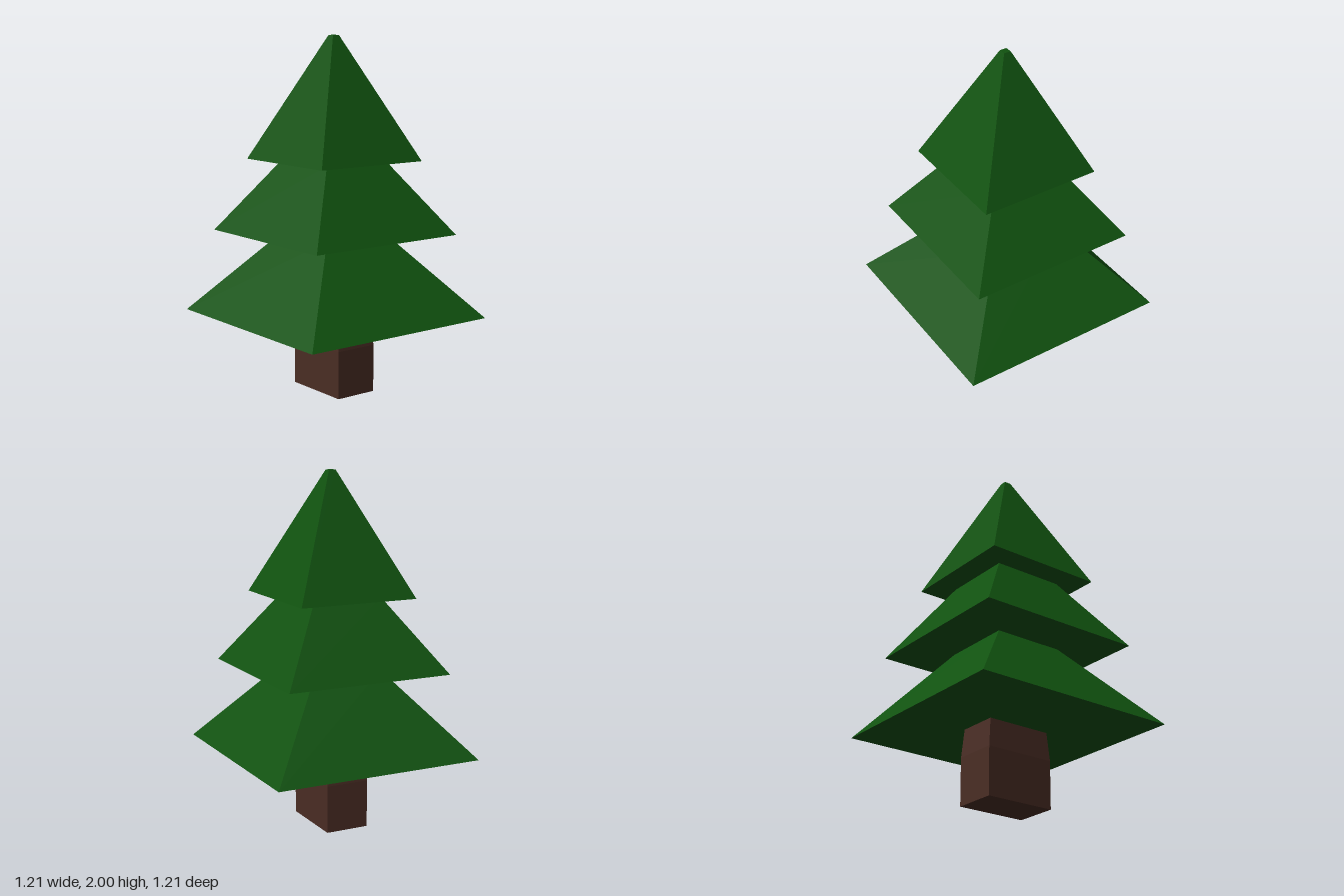
import * as THREE from 'three';

const green = new THREE.MeshStandardMaterial({ color: 0x10520f });
green.name = 'pine green';
const brown = new THREE.MeshStandardMaterial({ color: 0x4a2d24 });
brown.name = 'bark brown';
green.flatShading = brown.flatShading = true;

// Square frustum standing on y0, with half-widths at its bottom and top
function frustum(name, y0, y1, bottom, top) {
  const geometry = new THREE.CylinderGeometry(top * Math.SQRT2, bottom * Math.SQRT2, y1 - y0, 4);
  geometry.rotateY(Math.PI / 4);
  geometry.translate(0, (y0 + y1) / 2, 0);
  const mesh = new THREE.Mesh(geometry, green);
  mesh.name = name;
  return mesh;
}

// Rectangular trunk: straight at the foot, narrowing from the shoulder up
function trunk() {
  const height = 0.44, shoulder = 0.27;
  const geometry = new THREE.BoxGeometry(0.25, height, 0.41, 1, 2, 1);
  geometry.translate(0, height / 2, 0);
  const p = geometry.attributes.position;
  for (let i = 0; i < p.count; i++) {
    const y = p.getY(i);
    if (y > height - 0.01) {
      p.setX(i, p.getX(i) * 0.92);
      p.setZ(i, p.getZ(i) * 0.925);
    } else if (y > 0.01) {
      p.setY(i, shoulder);
    }
  }
  geometry.computeVertexNormals();
  const mesh = new THREE.Mesh(geometry, brown);
  mesh.name = 'trunk';
  return mesh;
}

export function createModel() {
  const tree = new THREE.Group();
  tree.name = 'pineTree';
  tree.add(
    trunk(),
    frustum('lowerBranches', 0.43, 0.9, 0.605, 0.205),
    frustum('middleBranches', 0.9, 1.31, 0.485, 0.205),
    frustum('upperBranches', 1.31, 2, 0.347, 0.02),
  );
  return tree;
}
